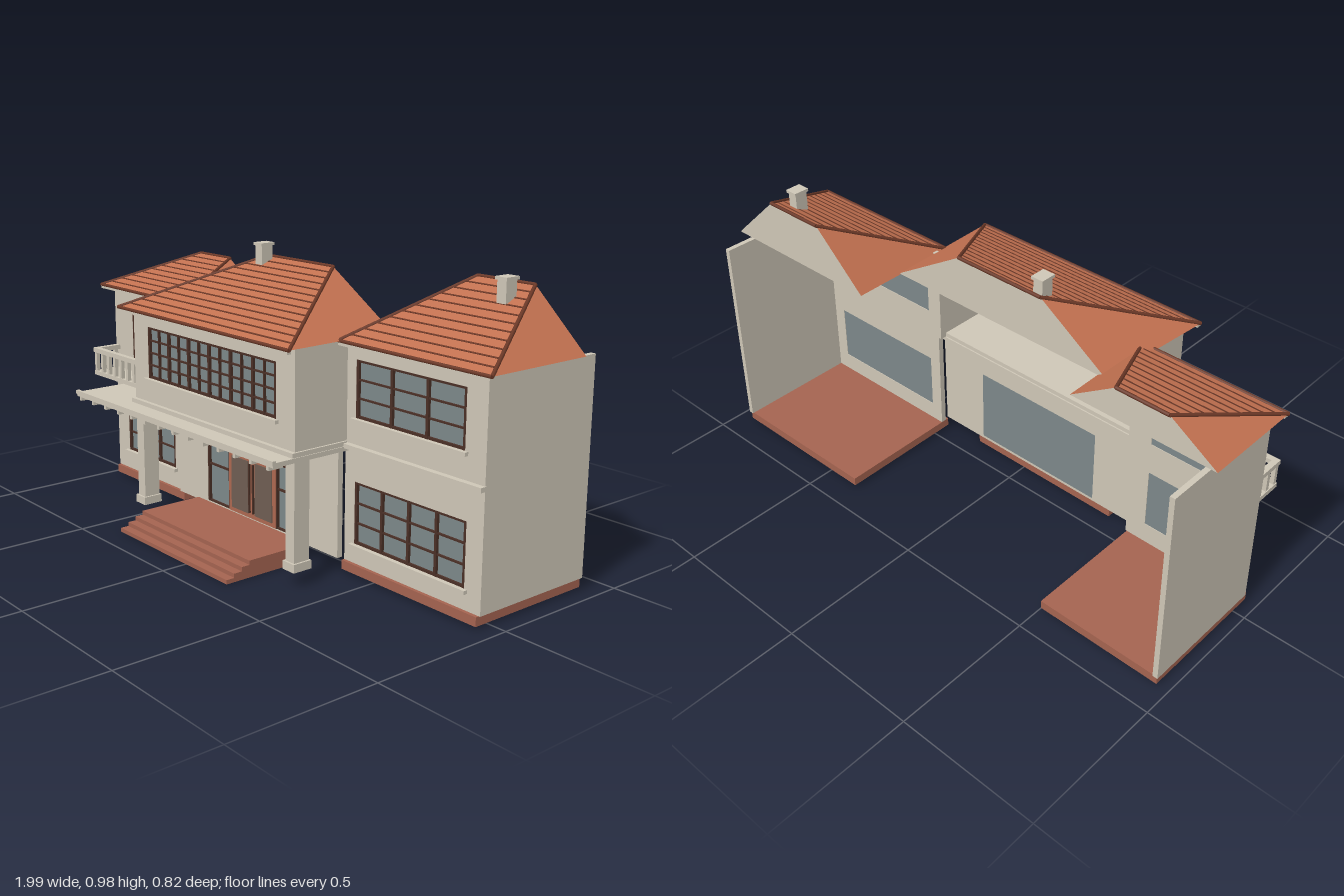
import * as THREE from 'three';

const mat = (name, color) => {
  const m = new THREE.MeshStandardMaterial({ color });
  m.name = name;
  return m;
};

export function createModel() {
  const plaster = mat('plaster', 0xcec6b6);
  const tile = mat('roof tile', 0xc27150);
  const brick = mat('brick red', 0xa46350);
  const glass = mat('glass', 0x7c8789);
  const frame = mat('dark brown frame', 0x4a2f26);
  const ridge = mat('ridge brown', 0x6b3827);
  const doorRed = mat('door red', 0xad6850);
  const doorPanel = mat('door panel', 0x6f5d52);
  tile.side = plaster.side = THREE.DoubleSide;

  const house = new THREE.Group();
  house.name = 'house';
  const group = (name) => {
    const g = new THREE.Group();
    g.name = name;
    house.add(g);
    return g;
  };
  const add = (parent, name, geo, m) => {
    const mesh = new THREE.Mesh(geo, m);
    mesh.name = name;
    parent.add(mesh);
    return mesh;
  };
  // Box given by its limits on each axis
  const box = (parent, name, m, x0, x1, y0, y1, z0, z1) => {
    const b = add(parent, name, new THREE.BoxGeometry(x1 - x0, y1 - y0, z1 - z0), m);
    b.position.set((x0 + x1) / 2, (y0 + y1) / 2, (z0 + z1) / 2);
    return b;
  };
  // Round bar between two points
  const bar = (parent, name, m, a, b, r) => {
    const p = new THREE.Vector3(...a), q = new THREE.Vector3(...b);
    const d = q.clone().sub(p);
    const mesh = add(parent, name, new THREE.CylinderGeometry(r, r, d.length(), 8), m);
    mesh.position.copy(p).add(q).multiplyScalar(0.5);
    mesh.quaternion.setFromUnitVectors(new THREE.Vector3(0, 1, 0), d.normalize());
  };

  // Front wall with rectangular openings; its outer face lies at z
  const T = 0.02;
  const wall = (name, x0, x1, y0, y1, z, openings) => {
    const rect = (P, a, b, c, d) => {
      const s = new P();
      s.moveTo(a, c); s.lineTo(b, c); s.lineTo(b, d); s.lineTo(a, d); s.closePath();
      return s;
    };
    const shape = rect(THREE.Shape, x0, x1, y0, y1);
    for (const [a, b, c, d] of openings) shape.holes.push(rect(THREE.Path, a, b, c, d));
    const geo = new THREE.ExtrudeGeometry(shape, { depth: T, bevelEnabled: false });
    add(house, name, geo, plaster).position.z = z - T;
  };

  // Glazed window with a frame, thick mullions, thin glazing bars and a sill
  const win = (name, [x0, x1, y0, y1], z, cols, rows, thick = 1, sill = true) => {
    const g = group(name);
    box(g, 'pane', glass, x0, x1, y0, y1, z - 0.018, z - 0.01);
    for (let i = 0; i <= cols; i++) {
      const w = i % thick === 0 ? 0.005 : 0.0025;
      const x = THREE.MathUtils.lerp(x0 + 0.005, x1 - 0.005, i / cols);
      box(g, 'mullion', frame, x - w, x + w, y0, y1, z - 0.01, z - 0.001);
    }
    for (let i = 0; i <= rows; i++) {
      const w = i === 0 || i === rows ? 0.004 : 0.0025;
      const y = THREE.MathUtils.lerp(y0 + 0.004, y1 - 0.004, i / rows);
      box(g, 'glazingBar', frame, x0, x1, y - w, y + w, z - 0.01, z - 0.002);
    }
    if (sill) box(g, 'sill', plaster, x0 - 0.012, x1 + 0.012, y0 - 0.012, y0, z - 0.01, z + 0.014);
  };

  // Wings: floor slab, windowed front and outer side wall
  const leftUp = [-0.845, -0.575, 0.45, 0.685], leftLow = [-0.89, -0.575, 0.115, 0.335];
  const rightUp = [0.41, 0.865, 0.515, 0.7], rightLow = [0.41, 0.88, 0.105, 0.31];
  wall('westWingFront', -0.965, -0.5, 0.04, 0.765, 0.05, [leftUp, leftLow]);
  wall('eastWingFront', 0.365, 0.945, 0.04, 0.765, 0.05, [rightUp, rightLow]);
  win('balconyWindow', leftUp, 0.05, 2, 3, 1, false);
  win('westLowerWindow', leftLow, 0.05, 3, 3);
  win('eastUpperWindow', rightUp, 0.05, 3, 3);
  win('eastLowerWindow', rightLow, 0.05, 4, 3);
  box(house, 'westSideWall', plaster, -0.965, -0.947, 0.04, 0.745, -0.41, 0.03);
  box(house, 'eastSideWall', plaster, 0.927, 0.945, 0.04, 0.745, -0.41, 0.03);
  box(house, 'westFloor', brick, -0.96, -0.505, 0.01, 0.04, -0.405, 0.062);
  box(house, 'eastFloor', brick, 0.365, 0.94, 0.01, 0.04, -0.405, 0.062);
  box(house, 'eastLedge', plaster, 0.365, 0.947, 0.415, 0.43, 0.045, 0.07);

  // Centre block: ground wall set back under an overhanging upper room
  const entry = [-0.33, 0.18, 0.06, 0.335], hall = [-0.42, 0.28, 0.52, 0.7];
  wall('centreGroundWall', -0.505, 0.365, 0.05, 0.42, 0.08, [entry]);
  wall('centreUpperWall', -0.505, 0.37, 0.42, 0.76, 0.26, [hall]);
  win('hallWindow', hall, 0.26, 12, 4, 2);
  box(house, 'upperSideWest', plaster, -0.505, -0.488, 0.42, 0.76, 0.03, 0.24);
  box(house, 'upperSideEast', plaster, 0.353, 0.37, 0.42, 0.76, 0.03, 0.24);
  box(house, 'upperFloor', plaster, -0.51, 0.377, 0.42, 0.435, 0.055, 0.275);

  // Entrance: side lights, transom and double door
  const door = group('entrance');
  box(door, 'entryGlass', glass, entry[0], entry[1], entry[2], entry[3], 0.06, 0.068);
  for (const x of [-0.326, -0.205, -0.075, 0.055, 0.176])
    box(door, 'entryMullion', frame, x - 0.004, x + 0.004, 0.06, 0.335, 0.068, 0.078);
  for (const y of [0.063, 0.287, 0.332])
    box(door, 'transomBar', frame, -0.33, 0.18, y - 0.003, y + 0.003, 0.068, 0.077);
  for (const [a, b] of [[-0.33, -0.205], [0.055, 0.18]])
    box(door, 'sideLightBar', frame, a, b, 0.197, 0.203, 0.068, 0.076);
  for (const s of [-1, 1]) {
    const c = -0.075 + s * 0.065;
    box(door, 'doorLeaf', doorRed, c - 0.064, c + 0.064, 0.06, 0.283, 0.068, 0.08);
    box(door, 'doorPanel', doorPanel, c - 0.046, c + 0.046, 0.075, 0.262, 0.08, 0.083);
    const h = -0.075 + s * 0.01;
    box(door, 'doorHandle', frame, h - 0.003, h + 0.003, 0.08, 0.255, 0.08, 0.086);
  }

  // Porch steps
  const steps = group('porchSteps');
  [0.41, 0.38, 0.35, 0.32].forEach((z, i) =>
    box(steps, 'step', brick, -0.39, 0.22, i * 0.0142, (i + 1) * 0.0142, 0.08, z));

  // Columns, porch canopy and its brackets
  const porch = group('porch');
  for (const x of [-0.483, 0.347]) {
    box(porch, 'column', plaster, x - 0.021, x + 0.021, 0.05, 0.405, 0.2, 0.26);
    box(porch, 'columnBase', plaster, x - 0.028, x + 0.028, 0.048, 0.076, 0.196, 0.267);
  }
  box(porch, 'canopy', plaster, -0.755, 0.38, 0.405, 0.42, 0.05, 0.352);
  box(porch, 'canopyLip', plaster, -0.757, 0.382, 0.412, 0.427, 0.343, 0.355);
  for (let i = 0; i < 14; i++) {
    const x = -0.735 + i * 0.0835;
    box(porch, 'bracket', plaster, x - 0.006, x + 0.006, 0.391, 0.405, 0.295, 0.35);
  }

  // Balcony with balustrade on the front and outer side
  const balcony = group('balcony');
  box(balcony, 'balconyFloor', plaster, -0.958, -0.505, 0.42, 0.436, 0.05, 0.155);
  box(balcony, 'frontRail', plaster, -0.958, -0.505, 0.508, 0.525, 0.137, 0.157);
  box(balcony, 'sideRail', plaster, -0.958, -0.938, 0.508, 0.525, 0.05, 0.137);
  for (let i = 0; i <= 10; i++) {
    const x = -0.948 + i * 0.0435;
    box(balcony, 'baluster', plaster, x - 0.007, x + 0.007, 0.436, 0.508, 0.14, 0.154);
  }
  for (const z of [0.065, 0.105])
    box(balcony, 'sideBaluster', plaster, -0.955, -0.941, 0.436, 0.508, z - 0.007, z + 0.007);

  // Half-hipped roof: sloping front, two side slopes and a flat plastered back
  const roof = (name, f0, f1, b0, b1, r0, r1, zf, zb, top, courses) => {
    const g = group(name), E = 0.757;
    const A = [f0, E, zf], B = [f1, E, zf], C = [r1, top, zb], D = [r0, top, zb];
    const L = [b0, E, zb], R = [b1, E, zb];
    const surface = (part, m, ...tris) => {
      const geo = new THREE.BufferGeometry();
      geo.setAttribute('position', new THREE.Float32BufferAttribute(tris.flat(), 3));
      geo.computeVertexNormals();
      add(g, part, geo, m);
    };
    surface('roofSlopes', tile, A, B, C, A, C, D, B, R, C, A, D, L);
    surface('roofBack', plaster, R, L, D, R, D, C);
    // Shadow gaps between the tile courses
    const angle = Math.atan2(top - E, zf - zb);
    for (let i = 1; i < courses; i++) {
      const t = i / courses, lerp = THREE.MathUtils.lerp;
      const gap = add(g, 'courseGap', new THREE.BoxGeometry(lerp(f1 - f0, r1 - r0, t), 0.003, 0.006), ridge);
      gap.position.set(lerp(f0 + f1, r0 + r1, t) / 2, lerp(E, top, t), lerp(zf, zb, t));
      gap.rotation.x = angle;
    }
    for (const [p, q] of [[A, D], [D, C], [C, B], [A, B]]) bar(g, 'ridgeTile', ridge, p, q, 0.006);
    box(g, 'gutter', plaster, f0 + 0.004, f1 - 0.004, 0.744, 0.755, zf - 0.012, zf + 0.004);
  };
  roof('centreRoof', -0.54, 0.39, -0.505, 0.375, -0.245, 0.095, 0.3, -0.13, 0.93, 13);
  roof('eastRoof', 0.37, 0.988, 0.365, 0.988, 0.563, 0.79, 0.09, -0.31, 0.94, 11);
  roof('westRoof', -0.994, -0.472, -0.994, -0.475, -0.825, -0.64, 0.09, -0.26, 0.865, 10);

  // Chimneys with caps
  const chimney = (x, z, y0, y1) => {
    const g = group('chimney');
    box(g, 'stack', plaster, x - 0.018, x + 0.018, y0, y1 - 0.01, z - 0.023, z + 0.023);
    box(g, 'cap', plaster, x - 0.023, x + 0.023, y1 - 0.01, y1, z - 0.028, z + 0.028);
  };
  chimney(-0.222, -0.093, 0.89, 0.981);
  chimney(0.757, -0.222, 0.87, 0.97);

  return house;
}
